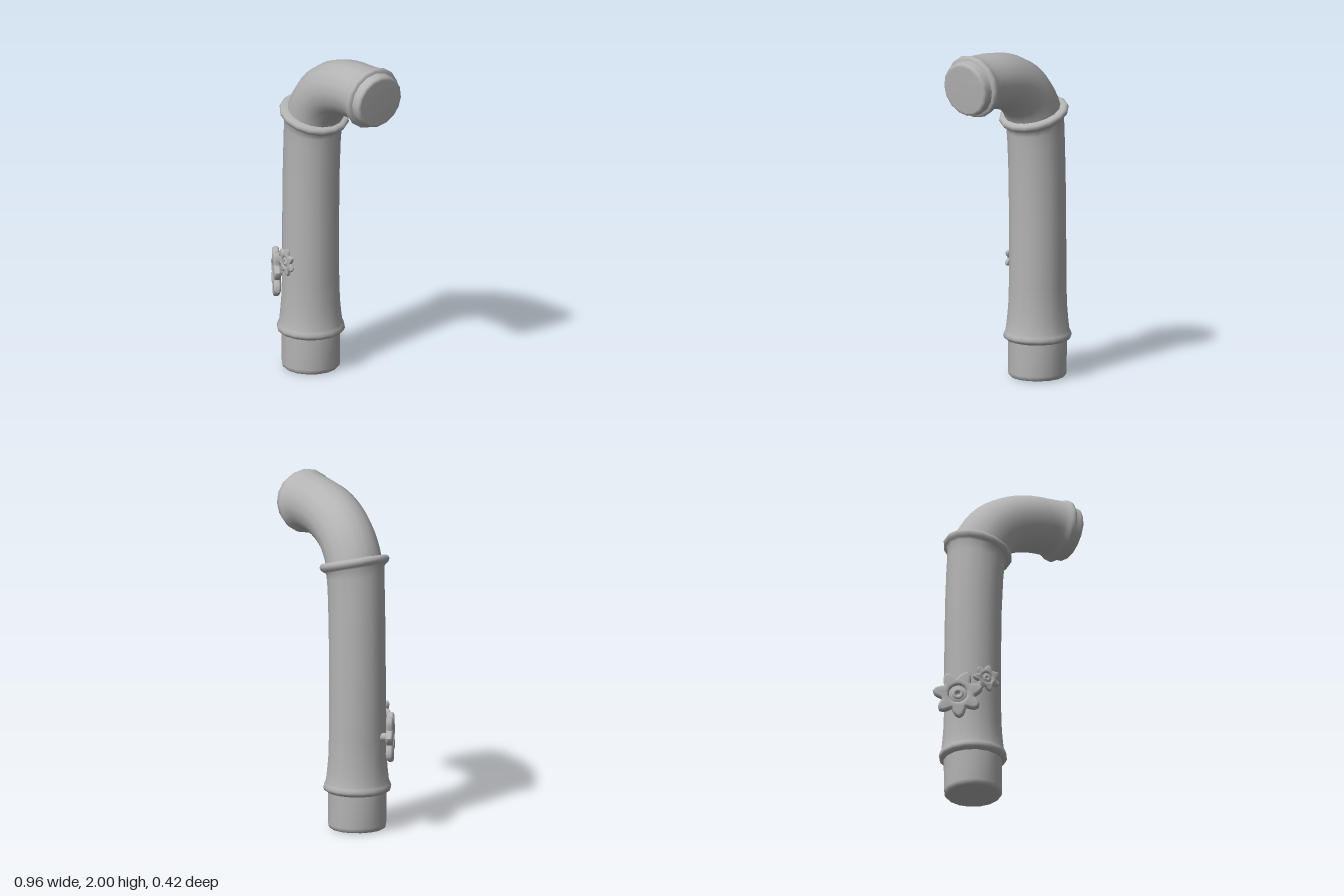
import * as THREE from 'three';
import { toCreasedNormals } from 'three/addons/utils/BufferGeometryUtils.js';

const SIDES = 16;
const grey = new THREE.MeshStandardMaterial({ color: 0xb4b4b4 });
grey.name = 'plain grey';

// Skin through round stations [x, y, tilt in degrees from vertical, radius]
function sweep(stations) {
  const pos = [], index = [];
  stations.forEach(([x, y, tilt, r], i) => {
    const a = THREE.MathUtils.degToRad(tilt);
    for (let j = 0; j < SIDES; j++) {
      const t = (j / SIDES) * Math.PI * 2;
      pos.push(x + r * Math.cos(t) * Math.cos(a), y - r * Math.cos(t) * Math.sin(a), r * Math.sin(t));
      if (i === 0) continue;
      const k = (j + 1) % SIDES, lo = (i - 1) * SIDES, hi = i * SIDES;
      index.push(lo + j, hi + j, lo + k, hi + j, hi + k, lo + k);
    }
  });
  const geo = new THREE.BufferGeometry();
  geo.setAttribute('position', new THREE.Float32BufferAttribute(pos, 3));
  geo.setIndex(index);
  geo.computeVertexNormals();
  return geo;
}

// Stations placed along one straight axis from a centre: [distance, radius]
function along(x, y, tilt, profile) {
  const a = THREE.MathUtils.degToRad(tilt);
  return profile.map(([d, r]) => [x + d * Math.sin(a), y + d * Math.cos(a), tilt, r]);
}

function addMesh(parent, name, geometry) {
  const mesh = new THREE.Mesh(geometry, grey);
  mesh.name = name;
  parent.add(mesh);
  return mesh;
}

// Knobbly hand wheel with a recessed hub, facing +z
function makeWheel(name, radius, spin) {
  const wheel = new THREE.Group();
  wheel.name = name;
  const bevel = radius * 0.1, teeth = 7, steps = teeth * 10;
  const outline = [];
  for (let i = 0; i < steps; i++) {
    const t = (i / steps) * Math.PI * 2;
    const wave = 0.5 + 0.5 * Math.cos(t * teeth);
    const r = radius * (0.66 + 0.34 * Math.pow(wave, 1.2)) - bevel;
    outline.push(new THREE.Vector2(r * Math.cos(t + spin), r * Math.sin(t + spin)));
  }
  const shape = new THREE.Shape(outline);
  shape.holes.push(new THREE.Path().absarc(0, 0, radius * 0.46, 0, Math.PI * 2, true));
  const rim = new THREE.ExtrudeGeometry(shape, {
    depth: radius * 0.08, bevelThickness: bevel, bevelSize: bevel, bevelSegments: 3, curveSegments: 20,
  });
  rim.translate(0, 0, -radius * 0.04);
  addMesh(wheel, 'toothedRim', toCreasedNormals(rim, 0.9));

  // Dished centre with a raised hub and a small socket
  const hub = [[0, -0.1], [0.42, -0.1], [0.44, 0.06], [0.25, 0.03], [0.22, 0.1], [0.16, 0.12], [0.1, 0.1], [0.08, 0], [0, 0]]
    .map(([x, y]) => new THREE.Vector2(x * radius, y * radius));
  addMesh(wheel, 'hub', new THREE.LatheGeometry(hub, 18)).rotation.x = Math.PI / 2;

  // Axle into the pipe wall
  const axle = addMesh(wheel, 'axle', new THREE.CylinderGeometry(radius * 0.16, radius * 0.16, radius * 0.45, 12));
  axle.rotation.x = Math.PI / 2;
  axle.position.z = -radius * 0.3;
  return wheel;
}

export function createModel() {
  const model = new THREE.Group();
  model.name = 'bentPipe';

  // Base plug with rounded bottom edge
  addMesh(model, 'basePlug', sweep(along(-0.19, 0, 0, [
    [0, 0], [0, 0.14], [0.003, 0.157], [0.014, 0.167], [0.03, 0.169], [0.22, 0.17],
  ])));

  // Upright pipe: lower collar, flare, shaft, tilted upper collar
  addMesh(model, 'uprightPipe', sweep([
    [-0.19, 0.215, 0, 0.16], [-0.19, 0.22, 0, 0.178], [-0.19, 0.23, 0, 0.193], [-0.19, 0.245, 0, 0.198],
    [-0.19, 0.262, 0, 0.193], [-0.19, 0.28, 0, 0.184], [-0.191, 0.34, 0, 0.177], [-0.192, 0.42, 0, 0.17],
    [-0.192, 0.55, 0, 0.166], [-0.192, 0.9, 0, 0.165], [-0.187, 1.2, 2, 0.165], [-0.178, 1.4, 5, 0.166],
    [-0.172, 1.48, 11, 0.168],
    ...along(-0.16, 1.555, 17, [
      [-0.032, 0.172], [-0.022, 0.187], [-0.01, 0.2], [0.005, 0.205], [0.018, 0.2], [0.026, 0.188], [0.028, 0.155],
    ]),
  ]));

  // Bend followed by the flared end collar
  const curve = new THREE.CubicBezierCurve(
    new THREE.Vector2(-0.15, 1.57), new THREE.Vector2(-0.085, 1.74),
    new THREE.Vector2(0.08, 1.82), new THREE.Vector2(0.29, 1.822));
  const bend = [];
  for (let i = 0; i <= 12; i++) {
    const p = curve.getPoint(i / 12), d = curve.getTangent(i / 12);
    bend.push([p.x, p.y, THREE.MathUtils.radToDeg(Math.atan2(d.x, d.y)), 0.164]);
  }
  addMesh(model, 'bend', sweep([
    ...bend, [0.33, 1.821, 93, 0.168],
    ...along(0.38, 1.816, 96, [
      [-0.025, 0.174], [-0.012, 0.182], [0.002, 0.186], [0.014, 0.183], [0.022, 0.174], [0.026, 0.155],
    ]),
  ]));

  // Closed end plug
  addMesh(model, 'endPlug', sweep(along(0.38, 1.816, 96, [
    [0.015, 0.163], [0.055, 0.161], [0.07, 0.158], [0.078, 0.152], [0.081, 0.14], [0.081, 0],
  ])));

  // Two hand wheels on the front of the shaft
  const large = makeWheel('largeHandWheel', 0.146, THREE.MathUtils.degToRad(-87));
  large.position.set(-0.36, 0.555, 0.12);
  large.rotation.y = THREE.MathUtils.degToRad(-34);
  const small = makeWheel('smallHandWheel', 0.082, THREE.MathUtils.degToRad(80));
  small.position.set(-0.2, 0.675, 0.173);
  small.rotation.y = THREE.MathUtils.degToRad(-8);
  model.add(large, small);

  return model;
}
